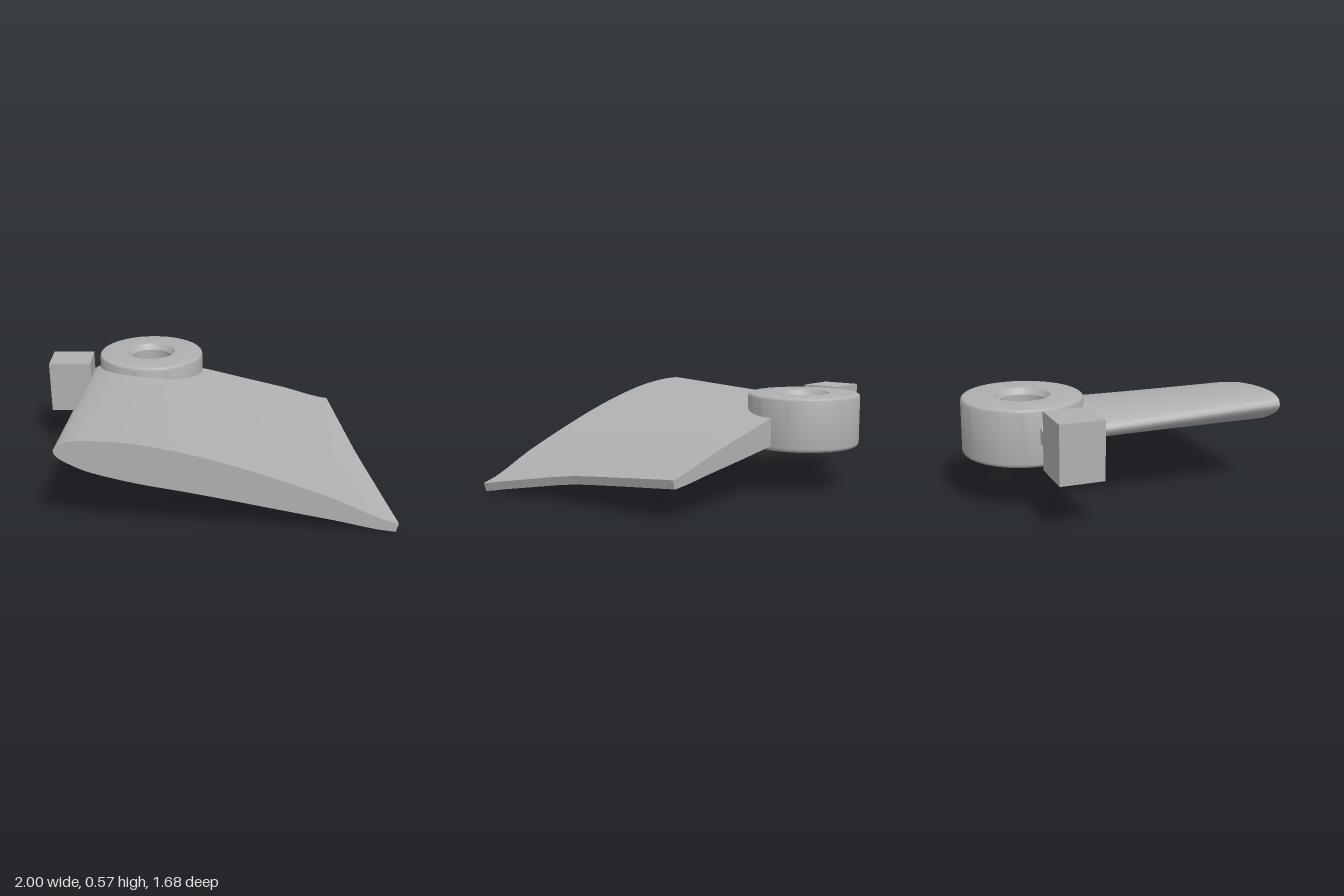
import * as THREE from 'three';
import { toCreasedNormals } from 'three/addons/utils/BufferGeometryUtils.js';

const FRONT = 0.84, BACK = -0.51;
const HUB = { x: -0.365, z: -0.51, r: 0.335, y0: 0.26, y1: 0.575 };
const NOTCH = 0.25; // the wing stops inside the hub wall, leaving the bore open

// Heights at chord fractions u = s * s, with s = 0, 0.1 ... 1
const spline = (ys) => new THREE.SplineCurve(ys.map((y, i) => new THREE.Vector2(i / 10, y)));
const tip = {
  top: spline([0.5, 0.533, 0.553, 0.558, 0.551, 0.53, 0.486, 0.418, 0.322, 0.2, 0.05]),
  bottom: spline([0.5, 0.467, 0.43, 0.385, 0.345, 0.303, 0.262, 0.21, 0.147, 0.077, 0]),
};
const root = {
  top: spline([0.43, 0.458, 0.482, 0.503, 0.513, 0.51, 0.487, 0.443, 0.382, 0.313, 0.23]),
  bottom: spline([0.43, 0.402, 0.383, 0.366, 0.352, 0.334, 0.311, 0.284, 0.251, 0.217, 0.18]),
};
// Blend from tip (0) to root (1) along the span
const twist = spline([0, 0.135, 0.27, 0.405, 0.54, 0.65, 0.73, 0.8, 0.87, 0.935, 1]);

const lerp = THREE.MathUtils.lerp;
const spanOf = (z) => (FRONT - z) / (FRONT - BACK);
const leadX = (z) => lerp(-0.815, -0.755, spanOf(z));
const trailX = (z) => lerp(1, 0.81, twist.getPoint(spanOf(z)).y);
const chordParam = (x, z) => Math.sqrt((x - leadX(z)) / (trailX(z) - leadX(z)));

// Point on the wing: a > 0 is the upper skin, a < 0 the lower, 0 the leading edge
function wingPoint(a, z) {
  const s = Math.min(Math.abs(a), 1), u = s * s, k = spanOf(z);
  const side = a >= 0 ? 'top' : 'bottom';
  const t = lerp(k, twist.getPoint(k).y, u);
  const x = lerp(leadX(z), trailX(z), u) - (a < 0 ? 0.013 * u * u : 0);
  return new THREE.Vector3(x, lerp(tip[side].getPoint(s).y, root[side].getPoint(s).y, t), z);
}

// Surface from a rule f(u, v), both 0 to 1
function sheet(f, nu, nv) {
  const pos = [], index = [];
  for (let j = 0; j <= nv; j++)
    for (let i = 0; i <= nu; i++) pos.push(...f(i / nu, j / nv).toArray());
  for (let j = 0; j < nv; j++)
    for (let i = 0; i < nu; i++) {
      const p = j * (nu + 1) + i, q = p + nu + 1;
      index.push(p, p + 1, q, p + 1, q + 1, q);
    }
  const g = new THREE.BufferGeometry();
  g.setAttribute('position', new THREE.Float32BufferAttribute(pos, 3));
  g.setIndex(index);
  g.computeVertexNormals();
  return g;
}

// Flat end face between two chord positions
const endCap = (s0, s1, z) => sheet((u, v) => {
  const s = lerp(s0, s1, u);
  return wingPoint(-s, z).lerp(wingPoint(s, z), v);
}, 40, 1);

export function createModel() {
  const model = new THREE.Group();
  const grey = new THREE.MeshStandardMaterial({ color: 0xb0b0b0, side: THREE.DoubleSide });
  grey.name = 'grey';
  const add = (parent, name, geometry) => {
    const mesh = new THREE.Mesh(geometry, grey);
    mesh.name = name;
    parent.add(mesh);
    return mesh;
  };

  // Twisted wing blade
  const wing = new THREE.Group();
  wing.name = 'wing';
  model.add(wing);
  const seam = HUB.z + NOTCH;
  add(wing, 'wingSkin', sheet((u, v) => wingPoint(u * 2 - 1, lerp(FRONT, seam, v)), 80, 28));

  // Skins on either side of the hub, following its circle
  const notch = (v, dir) => {
    const angle = (1 - v) * Math.PI / 2;
    const z = HUB.z + NOTCH * Math.sin(angle);
    return { z, s: chordParam(HUB.x + dir * NOTCH * Math.cos(angle), z) };
  };
  add(wing, 'leadingRootSkin', sheet((u, v) => {
    const { z, s } = notch(v, -1);
    return wingPoint((u * 2 - 1) * s, z);
  }, 48, 14));
  add(wing, 'upperRootSkin', sheet((u, v) => {
    const { z, s } = notch(v, 1);
    return wingPoint(lerp(s, 1, u), z);
  }, 30, 14));
  add(wing, 'lowerRootSkin', sheet((u, v) => {
    const { z, s } = notch(v, 1);
    return wingPoint(lerp(-1, -s, u), z);
  }, 30, 14));

  // Blunt trailing edge and end faces
  add(wing, 'trailingEdge', sheet((u, v) => {
    const z = lerp(FRONT, BACK, v);
    return wingPoint(1, z).lerp(wingPoint(-1, z), u);
  }, 1, 36));
  add(wing, 'tipFace', endCap(0, 1, FRONT));
  add(wing, 'leadingRootFace', endCap(notch(1, -1).s, 0, BACK));
  add(wing, 'trailingRootFace', endCap(1, notch(1, 1).s, BACK));

  // Hub ring with rounded rim and chamfered bore
  const { r, y0, y1 } = HUB, f = 0.022, bore = 0.13, mouth = 0.155, depth = 0.035;
  const profile = [[bore, y0 + depth], [mouth, y0]];
  for (let i = 0; i <= 5; i++) {
    const a = (i / 5 - 1) * Math.PI / 2;
    profile.push([r - f + f * Math.cos(a), y0 + f + f * Math.sin(a)]);
  }
  for (let i = 0; i <= 5; i++) {
    const a = (i / 5) * Math.PI / 2;
    profile.push([r - f + f * Math.cos(a), y1 - f + f * Math.sin(a)]);
  }
  profile.push([mouth, y1], [bore, y1 - depth], [bore, y0 + depth]);
  const ring = new THREE.LatheGeometry(profile.map((p) => new THREE.Vector2(...p)), 64);
  add(model, 'hub', toCreasedNormals(ring, 0.5)).position.set(HUB.x, 0, HUB.z);

  // Stop block beside the hub
  add(model, 'stopBlock', new THREE.BoxGeometry(0.26, 0.315, 0.24)).position.set(-0.87, 0.4175, -0.39);

  return model;
}
